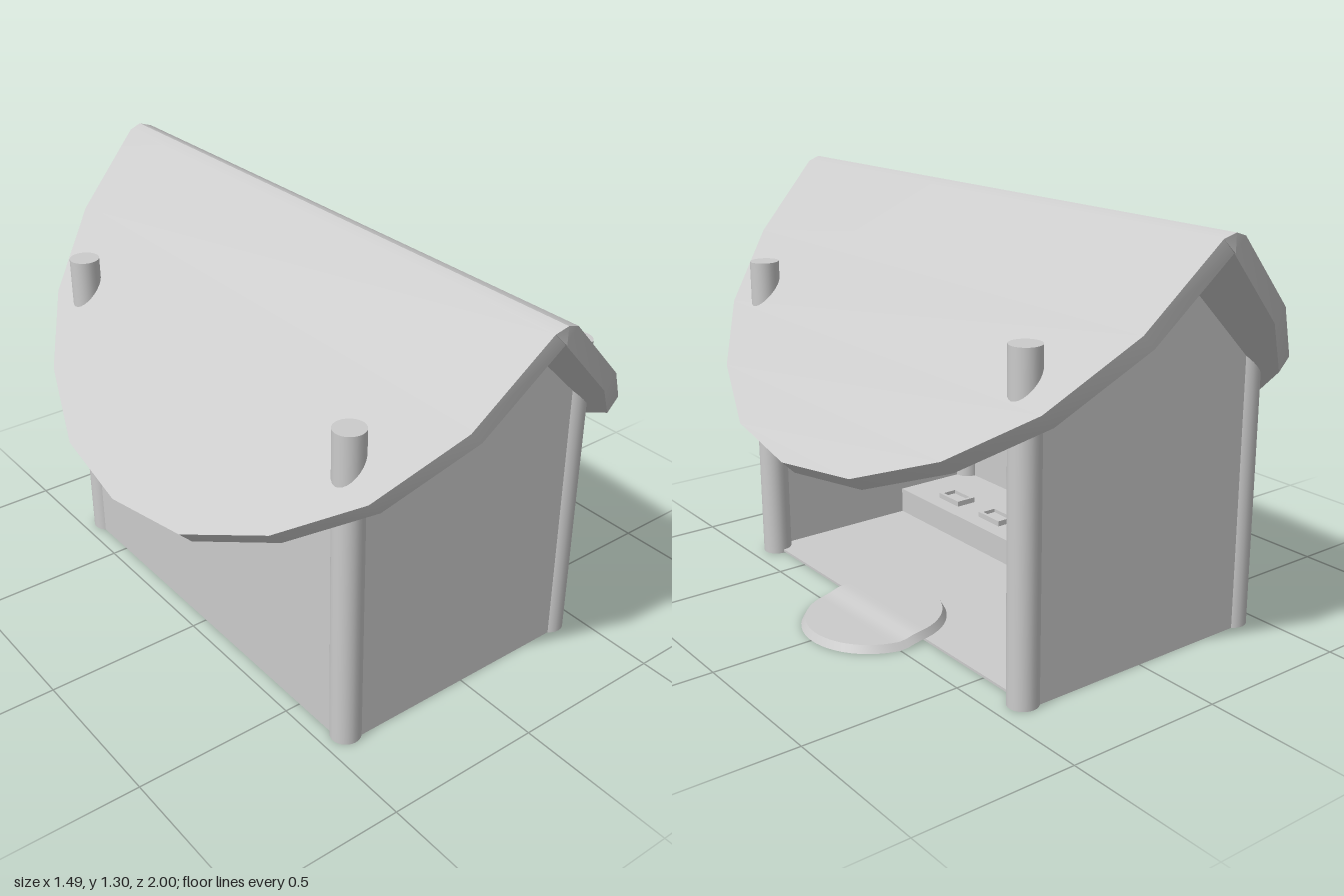
import * as THREE from 'three';
import { toCreasedNormals } from 'three/addons/utils/BufferGeometryUtils.js';

const material = new THREE.MeshStandardMaterial({ color: 0xcccccc, side: THREE.DoubleSide });

function add(parent, name, geometry, x = 0, y = 0, z = 0) {
  const mesh = new THREE.Mesh(geometry, material);
  mesh.name = name;
  mesh.position.set(x, y, z);
  parent.add(mesh);
  return mesh;
}

// A slab with four-cornered sections along x: { top: [x, y, halfZ], bottom: [x, y, halfZ] }
function bentSlab(stations) {
  const points = [];
  const index = [];
  for (const { top, bottom } of stations) {
    const [tx, ty, tz] = top;
    const [bx, by, bz] = bottom;
    points.push(tx, ty, tz, tx, ty, -tz, bx, by, -bz, bx, by, bz);
  }
  for (let i = 0; i < stations.length - 1; i++) {
    for (let j = 0; j < 4; j++) {
      const a = i * 4 + j, b = i * 4 + (j + 1) % 4;
      index.push(a, a + 4, b, b, a + 4, b + 4);
    }
  }
  const n = (stations.length - 1) * 4;
  index.push(0, 1, 2, 0, 2, 3, n, n + 2, n + 1, n, n + 3, n + 2);
  const geometry = new THREE.BufferGeometry();
  geometry.setAttribute('position', new THREE.Float32BufferAttribute(points, 3));
  geometry.setIndex(index);
  return toCreasedNormals(geometry, 0.55);
}

// Twenty-sided disc folded over the ridge at 45 degrees
function roofGeometry() {
  const half = [[0.04, 0.995], [0.26, 0.951], [0.46, 0.809], [0.61, 0.588], [0.715, 0.309], [0.747, 0]];
  const side = (s) => half.map(([x, z]) => ({
    top: [s * x, 1.33 - x, z],
    bottom: [s * (x - 0.04), 1.29 - x, z],
  }));
  const ridge = { top: [0, 1.303, 1], bottom: [0, 1.25, 1] };
  return bentSlab([...side(-1).reverse(), ridge, ...side(1)]);
}

// Round mat that steps down over the edge of the floor
function matGeometry() {
  const stations = [];
  const steps = 28;
  for (let i = 0; i <= steps; i++) {
    const t = Math.PI * i / steps;
    const x = 0.45 - 0.225 * Math.cos(t);
    const lift = 0.014 * (1 - THREE.MathUtils.smoothstep(x, 0.43, 0.5));
    stations.push({
      top: [0.45 - 0.212 * Math.cos(t), lift + 0.023, 0.212 * Math.sin(t)],
      bottom: [x, lift, 0.225 * Math.sin(t)],
    });
  }
  return bentSlab(stations);
}

export function createModel() {
  const model = new THREE.Group();
  model.name = 'shelter';

  add(model, 'roof', roofGeometry());

  // Corner posts, passing through the roof
  for (const x of [-0.42, 0.408]) {
    for (const z of [-0.68, 0.68]) {
      add(model, 'post', new THREE.CylinderGeometry(0.047, 0.047, 1.02, 24), x, 0.51, z);
    }
  }

  // Gable walls
  const gable = new THREE.Shape();
  gable.moveTo(-0.42, 0);
  gable.lineTo(0.408, 0);
  gable.lineTo(0.408, 0.842);
  gable.lineTo(0, 1.25);
  gable.lineTo(-0.42, 0.83);
  const gableGeometry = new THREE.ExtrudeGeometry(gable, { depth: 0.03, bevelEnabled: false });
  add(model, 'frontWall', gableGeometry, 0, 0, 0.683);
  add(model, 'backWall', gableGeometry, 0, 0, -0.713);

  // Closed long side; the opposite side stays open
  add(model, 'sideWall', new THREE.BoxGeometry(0.03, 0.815, 1.36), -0.435, 0.4075, 0);

  // Floor, and a raised platform along the closed side
  add(model, 'floor', new THREE.BoxGeometry(0.83, 0.008, 1.37), -0.005, 0.008, 0);
  add(model, 'platform', new THREE.BoxGeometry(0.3, 0.088, 1.37), -0.27, 0.056, 0);

  // Row of small shallow trays
  const rim = new THREE.Shape();
  rim.moveTo(-0.035, -0.055);
  rim.lineTo(0.035, -0.055);
  rim.lineTo(0.035, 0.055);
  rim.lineTo(-0.035, 0.055);
  const hole = new THREE.Path();
  hole.moveTo(-0.024, -0.044);
  hole.lineTo(-0.024, 0.044);
  hole.lineTo(0.024, 0.044);
  hole.lineTo(0.024, -0.044);
  rim.holes.push(hole);
  const rimGeometry = new THREE.ExtrudeGeometry(rim, { depth: 0.018, bevelEnabled: false });
  rimGeometry.rotateX(-Math.PI / 2);
  for (let i = 0; i < 4; i++) {
    const tray = new THREE.Group();
    tray.name = 'tray';
    tray.position.set(-0.12, 0.16, (i - 1.5) * 0.227);
    add(tray, 'trayRim', rimGeometry);
    add(tray, 'trayBase', new THREE.BoxGeometry(0.06, 0.006, 0.1), 0, 0.003, 0);
    model.add(tray);
  }

  add(model, 'doorMat', matGeometry());

  return model;
}
